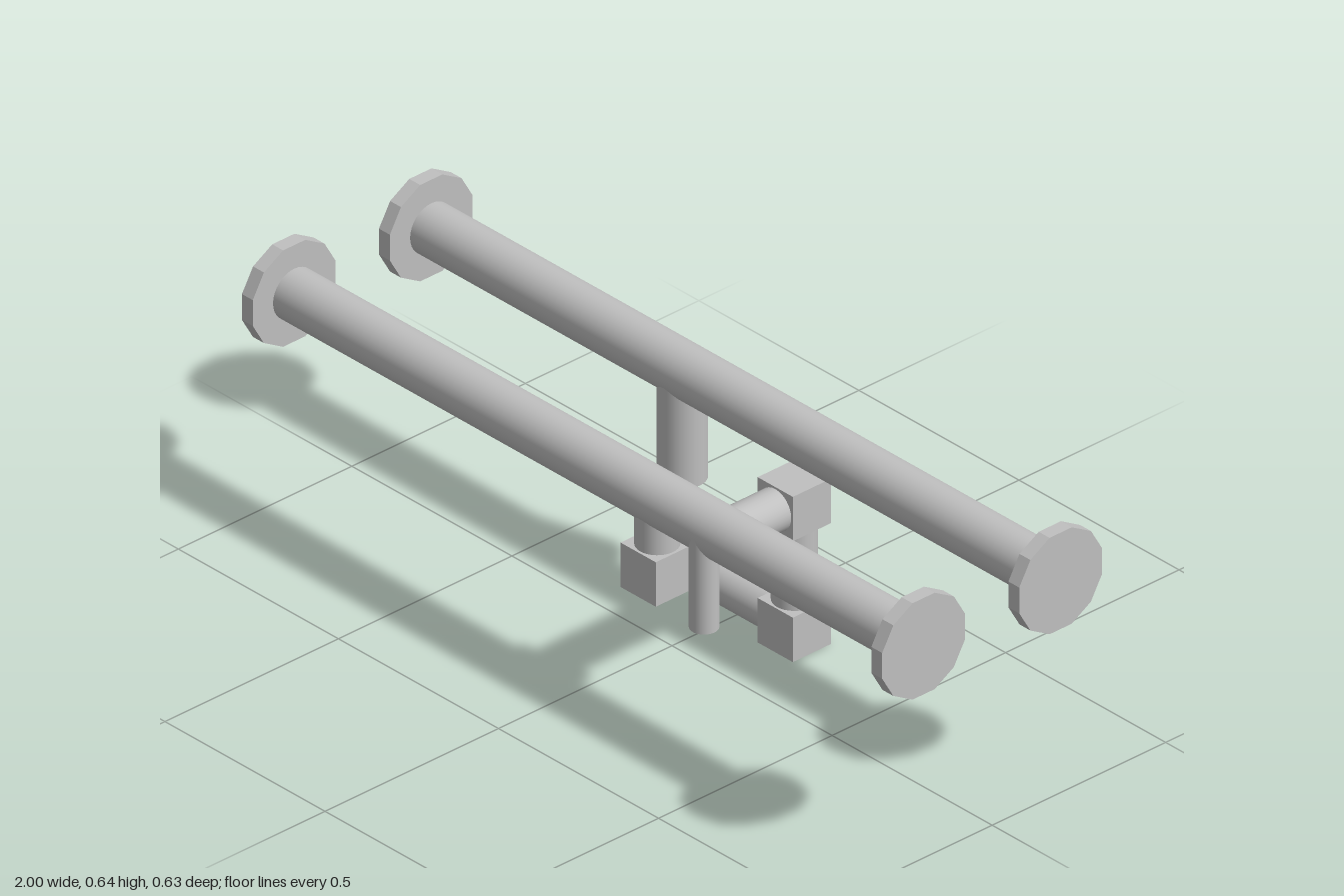
import * as THREE from 'three';

export function createModel() {
  const model = new THREE.Group();
  const steel = new THREE.MeshStandardMaterial({ color: 0xc0c0c0 });
  steel.name = 'light grey steel';

  const add = (name, geometry, x, y, z) => {
    const mesh = new THREE.Mesh(geometry, steel);
    mesh.name = name;
    mesh.position.set(x, y, z);
    model.add(mesh);
  };

  // Round pipe between two points
  const pipe = (name, radius, from, to) => {
    const a = new THREE.Vector3(...from), b = new THREE.Vector3(...to);
    const dir = b.clone().sub(a);
    const geometry = new THREE.CylinderGeometry(radius, radius, dir.length(), 32);
    geometry.applyQuaternion(new THREE.Quaternion().setFromUnitVectors(
      new THREE.Vector3(0, 1, 0), dir.normalize()));
    const c = a.add(b).multiplyScalar(0.5);
    add(name, geometry, c.x, c.y, c.z);
  };

  const row = 0.1975, mainY = 0.525, elbowX = 0.168, crossY = 0.355, outletY = 0.057;

  // Two long headers, each with a twelve-sided flange at both ends
  for (const side of [1, -1]) {
    const z = side * row;
    pipe('mainPipe', 0.061, [-0.98, mainY, z], [0.98, mainY, z]);
    for (const end of [1, -1]) {
      const flange = new THREE.CylinderGeometry(0.1235, 0.1235, 0.034, 12)
        .rotateY(Math.PI / 12).rotateZ(Math.PI / 2).toNonIndexed();
      flange.computeVertexNormals(); // hard facets
      add('endFlange', flange, end * 0.983, mainY, z);
    }
  }

  // Square elbow blocks
  const block = (name, y, z) => add(name, new THREE.BoxGeometry(0.11, 0.11, 0.11), elbowX, y, z);
  block('frontElbow', crossY, row);
  block('backElbow', crossY, -row);
  block('bottomElbow', outletY - 0.001, -row);

  // Pipe run: down from the front header, across, down and out
  pipe('frontDropPipe', 0.049, [elbowX, mainY, row], [elbowX, crossY, row]);
  pipe('crossPipe', 0.05, [elbowX, crossY, row], [elbowX, crossY, -row]);
  pipe('backDropPipe', 0.05, [elbowX, crossY, -row], [elbowX, outletY, -row]);
  pipe('outletPipe', 0.049, [elbowX, outletY, -row], [-0.08, outletY, -row]);

  // Open branch stubs below the headers
  pipe('backStub', 0.055, [-0.182, mainY, -row], [-0.182, 0.26, -row]);
  pipe('frontStub', 0.0325, [0.345, mainY, 0.226], [0.345, 0.294, 0.226]);

  return model;
}
